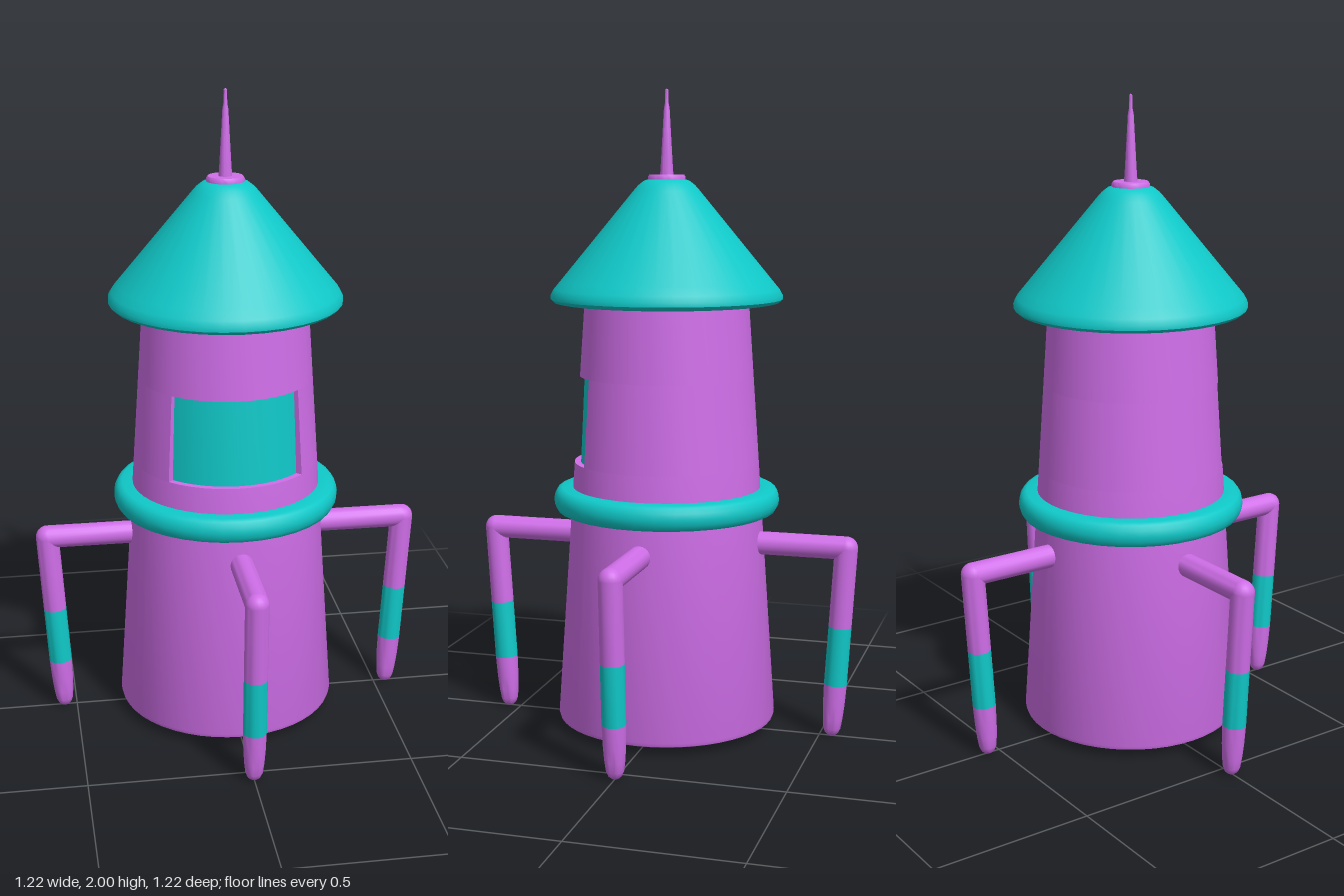
import * as THREE from 'three';
import { toCreasedNormals } from 'three/addons/utils/BufferGeometryUtils.js';

const purple = new THREE.MeshStandardMaterial({ color: 0xcf6ee8 });
const purpleThin = new THREE.MeshStandardMaterial({ color: 0xcf6ee8, side: THREE.DoubleSide });
const teal = new THREE.MeshStandardMaterial({ color: 0x10c8c8 });

// Turned part from [radius, y] points listed bottom to top
function turned(name, profile, material, segments = 36, start = 0, sweep = Math.PI * 2) {
  const points = profile.map(([r, y]) => new THREE.Vector2(r, y));
  const geometry = toCreasedNormals(new THREE.LatheGeometry(points, segments, start, sweep), 0.65);
  const mesh = new THREE.Mesh(geometry, material);
  mesh.name = name;
  return mesh;
}

// Tapered wall radius at a given height
const wall = (y) => 0.345 - 0.068 * (y - 0.04);

function createTower() {
  const tower = new THREE.Group();
  tower.name = 'tower';
  const y0 = 0.85, y1 = 1.12, half = Math.PI / 4;
  const r0 = wall(y0), r1 = wall(y1), p0 = 0.27, p1 = 0.257;

  tower.add(turned('lowerWall', [[0, 0.025], [0.33, 0.025], [0.341, 0.03], [0.345, 0.042], [r0, y0]], purple, 48));
  tower.add(turned('middleWall', [[r0, y0], [r1, y1]], purple, 36, half, Math.PI * 1.5));
  tower.add(turned('upperWall', [[r1, y1], [wall(1.4), 1.4], [0, 1.4]], purple, 48));

  // Recessed curved window with its sill, lintel and jambs
  tower.add(turned('windowPanel', [[p0, y0], [p1, y1]], teal, 12, -half, half * 2));
  tower.add(turned('windowSill', [[r0, y0], [p0, y0]], purple, 12, -half, half * 2));
  tower.add(turned('windowLintel', [[p1, y1], [r1, y1]], purple, 12, -half, half * 2));
  const jambShape = new THREE.Shape([[p0, y0], [r0, y0], [r1, y1], [p1, y1]].map(([x, y]) => new THREE.Vector2(x, y)));
  for (const side of [-1, 1]) {
    const jamb = new THREE.Mesh(new THREE.ShapeGeometry(jambShape), purpleThin);
    jamb.name = side > 0 ? 'windowJambLeft' : 'windowJambRight';
    jamb.rotation.y = side * half - Math.PI / 2;
    tower.add(jamb);
  }

  // Rounded collar around the wall
  tower.add(turned('collar', [
    [0.28, 0.692], [0.33, 0.692], [0.343, 0.698], [0.352, 0.713], [0.355, 0.731],
    [0.352, 0.749], [0.343, 0.764], [0.33, 0.77], [0.28, 0.77],
  ], teal));

  // Conical roof with rounded rim and crown
  tower.add(turned('roof', [
    [0, 1.347], [0.335, 1.347], [0.35, 1.35], [0.36, 1.36], [0.36, 1.373], [0.35, 1.391],
    [0.33, 1.415], [0.102, 1.692], [0.088, 1.708], [0.07, 1.722], [0.05, 1.728], [0, 1.728],
  ], teal));

  // Finial disc and needle
  tower.add(turned('finialBase', [[0, 1.715], [0.052, 1.715], [0.058, 1.722], [0.058, 1.734], [0.053, 1.741], [0, 1.741]], purple));
  tower.add(turned('needle', [[0.021, 1.735], [0.018, 1.78], [0.009, 1.94], [0.006, 1.955], [0.005, 1.996], [0, 2]], purple, 16));
  tower.position.x = -0.005;
  return tower;
}

function createLeg() {
  const leg = new THREE.Group();
  const radius = 0.036, elbowX = 0.576, elbowY = 0.604;

  // Horizontal arm
  const arm = turned('arm', [[0, 0], [radius, 0], [radius, elbowX - 0.29]], purple, 20);
  arm.rotation.z = -Math.PI / 2;
  arm.position.set(0.29, elbowY, 0);

  const elbow = new THREE.Mesh(new THREE.SphereGeometry(radius, 20, 14), purple);
  elbow.name = 'elbow';
  elbow.position.set(elbowX, elbowY, 0);

  // Slightly inward-leaning shin with a coloured band and a tapering foot
  const shin = new THREE.Group();
  shin.name = 'shin';
  shin.add(
    turned('upperShin', [[radius, -0.25], [radius, 0]], purple, 20),
    turned('band', [[radius, -0.435], [radius, -0.25]], teal, 20),
    turned('foot', [
      [0, -0.604], [0.012, -0.601], [0.021, -0.593], [0.027, -0.578], [0.031, -0.545],
      [0.034, -0.5], [radius, -0.435],
    ], purple, 20),
  );
  shin.rotation.z = -0.063;
  shin.position.copy(elbow.position);
  leg.add(arm, elbow, shin);
  return leg;
}

export function createModel() {
  const model = new THREE.Group();
  model.name = 'tower on four legs';
  model.add(createTower());
  ['leftLeg', 'backLeg', 'rightLeg', 'frontLeg'].forEach((name, i) => {
    const leg = createLeg();
    leg.name = name;
    leg.rotation.y = i * Math.PI / 2;
    model.add(leg);
  });
  return model;
}
